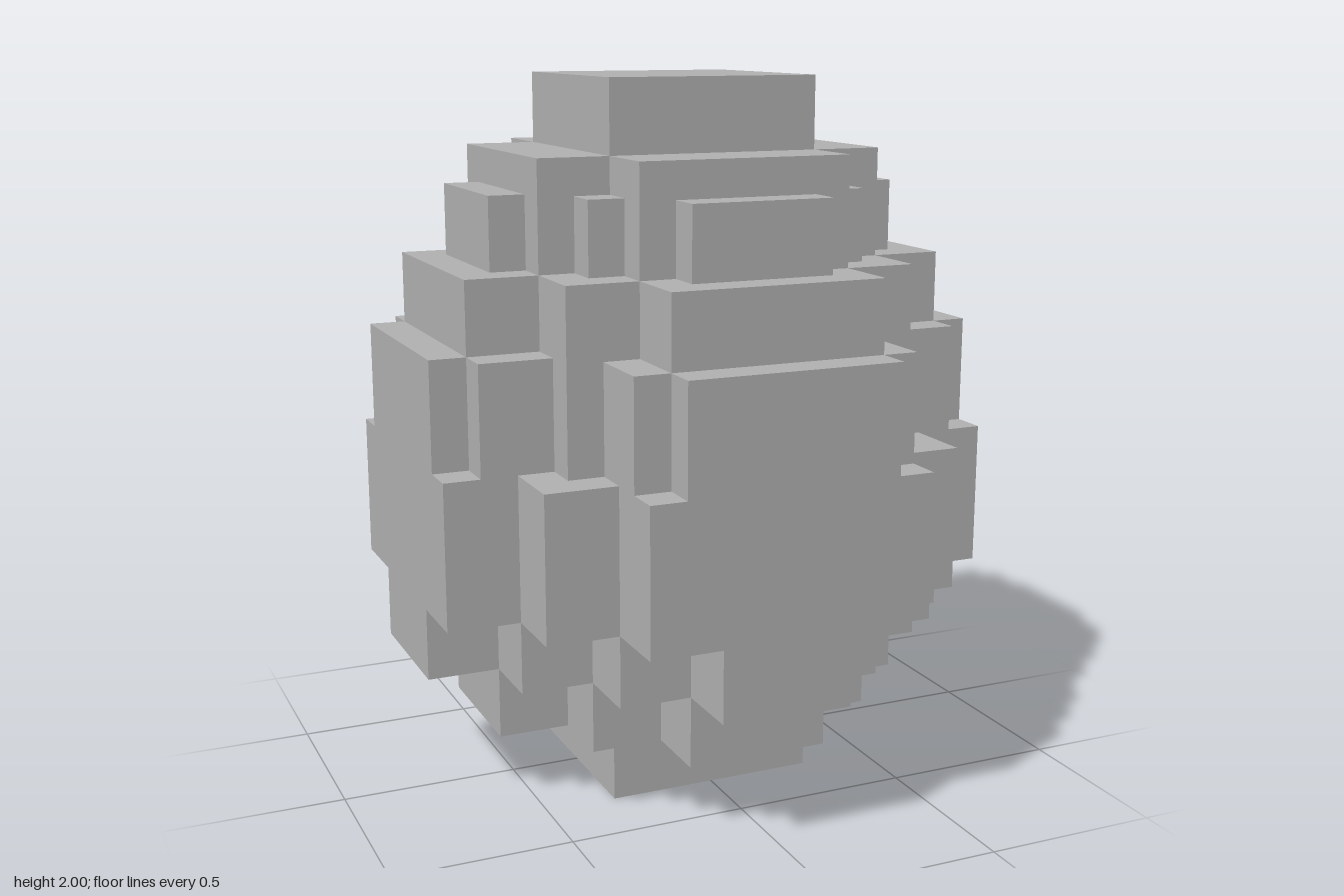
import * as THREE from 'three';

// Each layer: name, bottom, top, and the outer corners of one quarter of its stepped footprint
const LAYERS = [
  ['base', 0, 0.2, [[0.3, 0.3]]],
  ['lowerTaper', 0.2, 0.4, [[0.6, 0.2], [0.4, 0.4], [0.2, 0.6]]],
  ['upperTaper', 0.4, 0.6, [[0.8, 0.2], [0.6, 0.4], [0.4, 0.6], [0.2, 0.8]]],
  ['belly', 0.6, 1.0, [[0.8, 0.4], [0.6, 0.6], [0.4, 0.8]]],
  ['waist', 1.0, 1.3, [[0.8, 0.3], [0.7, 0.4], [0.5, 0.5], [0.4, 0.7], [0.3, 0.8]]],
  ['shoulder', 1.3, 1.5, [[0.7, 0.3], [0.5, 0.5], [0.3, 0.7]]],
  ['neck', 1.5, 1.7, [[0.6, 0.2], [0.5, 0.3], [0.4, 0.4], [0.3, 0.5], [0.2, 0.6]]],
  ['crown', 1.7, 1.8, [[0.5, 0.3], [0.3, 0.5]]],
  ['cap', 1.8, 2.0, [[0.3, 0.3]]],
];

// Stepped outline: one quarter, turned four times about the centre
function steppedShape(corners) {
  const quarter = [];
  corners.forEach(([x, y], i) => {
    if (i > 0) quarter.push([x, corners[i - 1][1]]);
    quarter.push([x, y]);
  });
  const points = [];
  for (let turn = 0; turn < 4; turn++) {
    for (const [x, y] of quarter) {
      let p = [x, y];
      for (let k = 0; k < turn; k++) p = [-p[1], p[0]];
      points.push(new THREE.Vector2(p[0], p[1]));
    }
  }
  return new THREE.Shape(points);
}

export function createModel() {
  const group = new THREE.Group();
  group.name = 'blockEgg';
  const shell = new THREE.MeshStandardMaterial({ color: 0xb2b2b2 });
  shell.name = 'shellGrey';

  // Stack the layers from the base to the cap
  for (const [name, bottom, top, corners] of LAYERS) {
    const geometry = new THREE.ExtrudeGeometry(steppedShape(corners), {
      depth: top - bottom,
      bevelEnabled: false,
    });
    geometry.rotateX(-Math.PI / 2);
    const mesh = new THREE.Mesh(geometry, shell);
    mesh.name = name;
    mesh.position.y = bottom;
    group.add(mesh);
  }
  return group;
}
